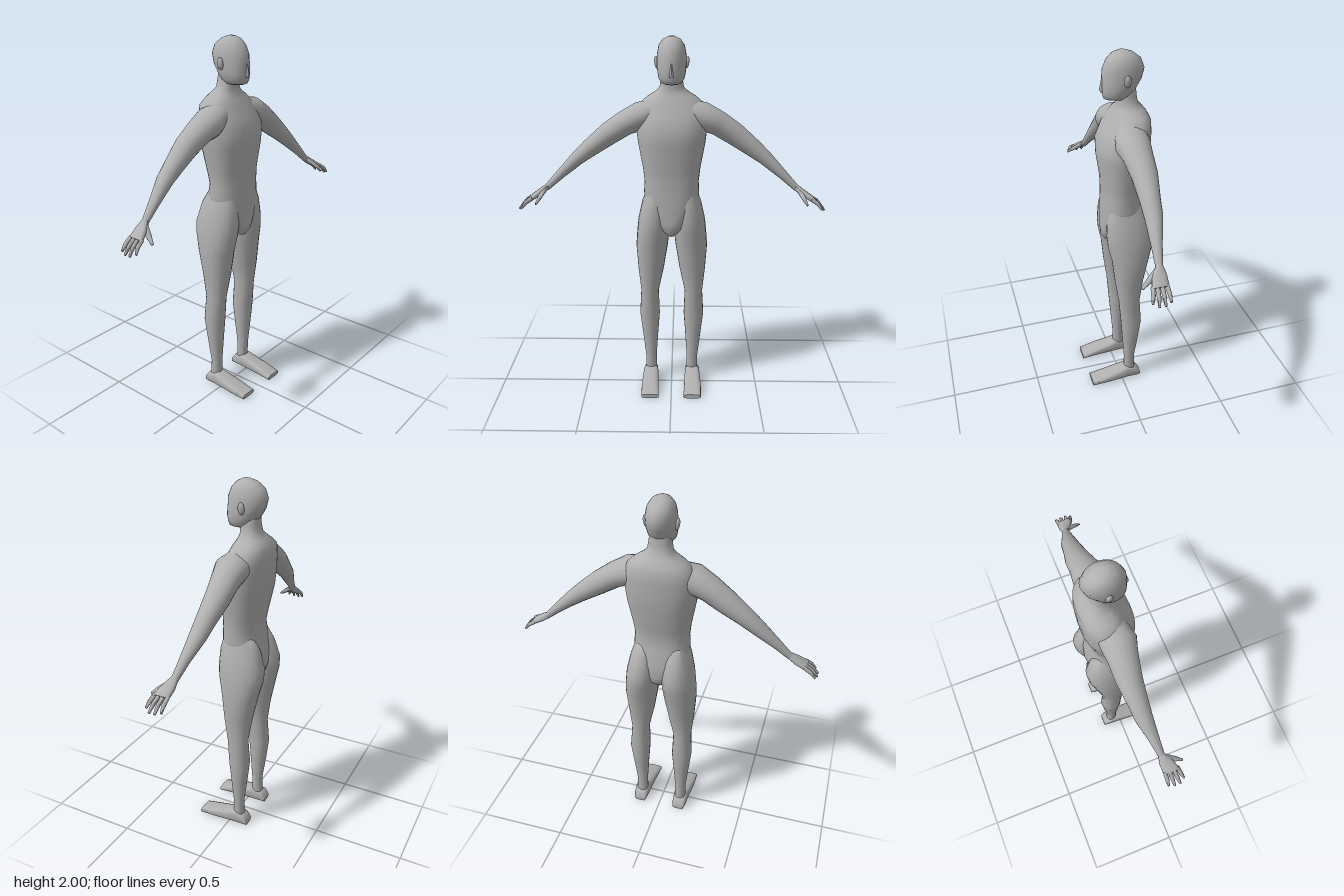
import * as THREE from 'three';
import { toCreasedNormals } from 'three/addons/utils/BufferGeometryUtils.js';

const skin = new THREE.MeshStandardMaterial({ color: 0xb0b0b0 });
skin.name = 'plain grey';

const V = (x, y, z) => new THREE.Vector3(x, y, z);

// Skins rings { c, u, v } (centre and half-axes); rings advance along u x v.
// n is the superellipse power, side = -1 mirrors the part across x.
function loft(name, rings, { seg = 20, n = 2, side = 1, crease = 1.1 } = {}) {
  const pos = [], idx = [];
  const bend = (t) => Math.sign(t) * Math.abs(t) ** (2 / n);
  const push = (p) => pos.push(p.x * side, p.y, p.z);
  const face = (a, b, c) => (side > 0 ? idx.push(a, b, c) : idx.push(a, c, b));
  for (const { c, u, v } of rings) {
    for (let i = 0; i < seg; i++) {
      const a = (i / seg) * Math.PI * 2;
      push(c.clone().addScaledVector(u, bend(Math.cos(a))).addScaledVector(v, bend(Math.sin(a))));
    }
  }
  const last = (rings.length - 1) * seg;
  push(rings[0].c);
  push(rings[rings.length - 1].c);
  for (let i = 0; i < seg; i++) {
    const j = (i + 1) % seg;
    for (let r = 0; r < last; r += seg) {
      face(r + i, r + j, r + seg + j);
      face(r + i, r + seg + j, r + seg + i);
    }
    face(last + seg, j, i);
    face(last + seg + 1, last + i, last + j);
  }
  const g = new THREE.BufferGeometry();
  g.setAttribute('position', new THREE.Float32BufferAttribute(pos, 3));
  g.setIndex(idx);
  const mesh = new THREE.Mesh(toCreasedNormals(g, crease), skin);
  mesh.name = name;
  return mesh;
}

// Horizontal ring: height, x range, front z, back z
const level = ([y, x0, x1, zf, zb]) => ({
  c: V((x0 + x1) / 2, y, (zf + zb) / 2), u: V((x1 - x0) / 2, 0, 0), v: V(0, 0, (zf - zb) / 2),
});
const centred = ([y, w, zf, zb]) => level([y, -w, w, zf, zb]);

// Arm ring: upper point, lower point, front z, back z
const slanted = ([tx, ty, bx, by, zf, zb]) => ({
  c: V((tx + bx) / 2, (ty + by) / 2, (zf + zb) / 2),
  u: V((tx - bx) / 2, (ty - by) / 2, 0), v: V(0, 0, (zf - zb) / 2),
});

// Foot ring: z, x range, height
const upright = ([z, x0, x1, h]) => ({
  c: V((x0 + x1) / 2, h / 2, z), u: V((x1 - x0) / 2, 0, 0), v: V(0, h / 2, 0),
});

// Finger ring across the hand's slope
const knuckle = ([x, y, z, r]) => ({ c: V(x, y, z), u: V(r * 0.6, r * 0.8, 0), v: V(0, 0, r) });

const torsoRings = [
  [1.84, 0.05, -0.01, -0.1], [1.78, 0.058, -0.002, -0.105], [1.74, 0.064, -0.006, -0.112],
  [1.715, 0.09, 0, -0.135], [1.69, 0.13, 0.015, -0.155], [1.66, 0.165, 0.03, -0.17],
  [1.6, 0.185, 0.065, -0.172], [1.53, 0.19, 0.096, -0.17], [1.45, 0.18, 0.095, -0.165],
  [1.31, 0.155, 0.076, -0.135], [1.24, 0.147, 0.075, -0.122], [1.18, 0.151, 0.077, -0.132],
  [1.1, 0.145, 0.08, -0.15], [1.02, 0.095, 0.085, -0.155], [0.98, 0.065, 0.083, -0.145],
  [0.945, 0.03, 0.06, -0.11],
];
const headRings = [
  [2.0, 0.015, -0.01, -0.05], [1.985, 0.046, 0.02, -0.09], [1.955, 0.067, 0.048, -0.128],
  [1.91, 0.076, 0.066, -0.145], [1.86, 0.077, 0.069, -0.132], [1.82, 0.073, 0.07, -0.108],
  [1.79, 0.067, 0.068, -0.09], [1.768, 0.052, 0.06, -0.07], [1.762, 0.035, 0.045, -0.05],
];
const legRings = [
  [1.2, 0.03, 0.135, 0.05, -0.11], [1.12, 0.015, 0.163, 0.07, -0.155],
  [1.02, 0.008, 0.185, 0.076, -0.184], [0.95, 0.012, 0.193, 0.07, -0.178],
  [0.86, 0.022, 0.2, 0.05, -0.155], [0.72, 0.045, 0.19, 0.035, -0.125],
  [0.58, 0.075, 0.176, 0.015, -0.105], [0.43, 0.07, 0.185, 0.002, -0.115],
  [0.3, 0.08, 0.17, -0.008, -0.1], [0.15, 0.09, 0.153, -0.02, -0.08],
  [0.03, 0.088, 0.154, -0.02, -0.085],
];
const footRings = [
  [-0.112, 0.09, 0.156, 0.03], [-0.09, 0.084, 0.163, 0.062], [-0.03, 0.08, 0.166, 0.085],
  [0, 0.078, 0.168, 0.075], [0.1, 0.075, 0.173, 0.05], [0.187, 0.071, 0.171, 0.025],
];
const armRings = [
  [0.08, 1.68, 0.1, 1.54, 0.03, -0.13], [0.19, 1.662, 0.17, 1.51, 0.055, -0.125],
  [0.28, 1.61, 0.215, 1.495, 0.035, -0.115], [0.37, 1.545, 0.3, 1.445, 0.02, -0.11],
  [0.47, 1.455, 0.4, 1.385, 0.012, -0.09], [0.53, 1.395, 0.48, 1.335, 0.01, -0.08],
  [0.62, 1.295, 0.585, 1.258, 0.01, -0.045], [0.685, 1.222, 0.667, 1.192, 0.012, -0.024],
];
const palmRings = [
  [0.675, 1.23, 0.66, 1.2, 0.01, -0.022], [0.72, 1.198, 0.705, 1.168, 0.042, -0.03],
  [0.768, 1.165, 0.752, 1.142, 0.06, -0.026],
];
// Base z and tip x, y, z of each finger
const fingers = [
  [-0.016, 0.815, 1.105, -0.018], [0.007, 0.825, 1.097, 0.012],
  [0.029, 0.825, 1.097, 0.042], [0.05, 0.808, 1.108, 0.068],
];

export function createModel() {
  const body = new THREE.Group();
  body.name = 'humanFigure';

  body.add(loft('torsoAndNeck', torsoRings.map(centred), { seg: 28, n: 2.3 }));
  body.add(loft('head', headRings.map(centred), { seg: 24 }));

  // Nose ridge
  body.add(loft('nose', [
    [1.87, 0.004, 0.07, 0.05], [1.815, 0.012, 0.082, 0.05], [1.8, 0.01, 0.076, 0.05],
  ].map(centred), { seg: 8 }));

  for (const side of [1, -1]) {
    const tag = side > 0 ? 'left' : 'right';

    const ear = new THREE.Mesh(new THREE.SphereGeometry(1, 12, 8), skin);
    ear.name = tag + 'Ear';
    ear.scale.set(0.012, 0.032, 0.018);
    ear.position.set(side * 0.079, 1.868, -0.04);
    ear.rotation.z = -side * 0.15;
    body.add(ear);

    body.add(loft(tag + 'Leg', legRings.map(level), { side, n: 2.15 }));
    body.add(loft(tag + 'Foot', footRings.map(upright), { side, n: 3.5, crease: 0.8 }));
    body.add(loft(tag + 'Arm', armRings.map(slanted), { side }));

    // Hand: palm, four fingers and a thumb
    const hand = new THREE.Group();
    hand.name = tag + 'Hand';
    hand.add(loft('palm', palmRings.map(slanted), { side, seg: 14, n: 2.6 }));
    for (const [z, x, y, tz] of fingers) {
      const mid = [(0.755 + x) / 2 + 0.005, (1.155 + y) / 2 + 0.005, (z + tz) / 2, 0.0105];
      hand.add(loft('finger', [[0.75, 1.16, z, 0.0115], mid, [x, y, tz, 0.006]].map(knuckle),
        { side, seg: 8 }));
    }
    hand.add(loft('thumb', [
      [0.69, 1.195, 0.012, 0.014], [0.71, 1.165, 0.055, 0.0125], [0.725, 1.138, 0.092, 0.006],
    ].map(([x, y, z, r]) => ({ c: V(x, y, z), u: V(r, 0, -r * 0.4), v: V(0, r * 0.85, r * 0.55) })),
    { side, seg: 8 }));
    body.add(hand);
  }
  return body;
}
